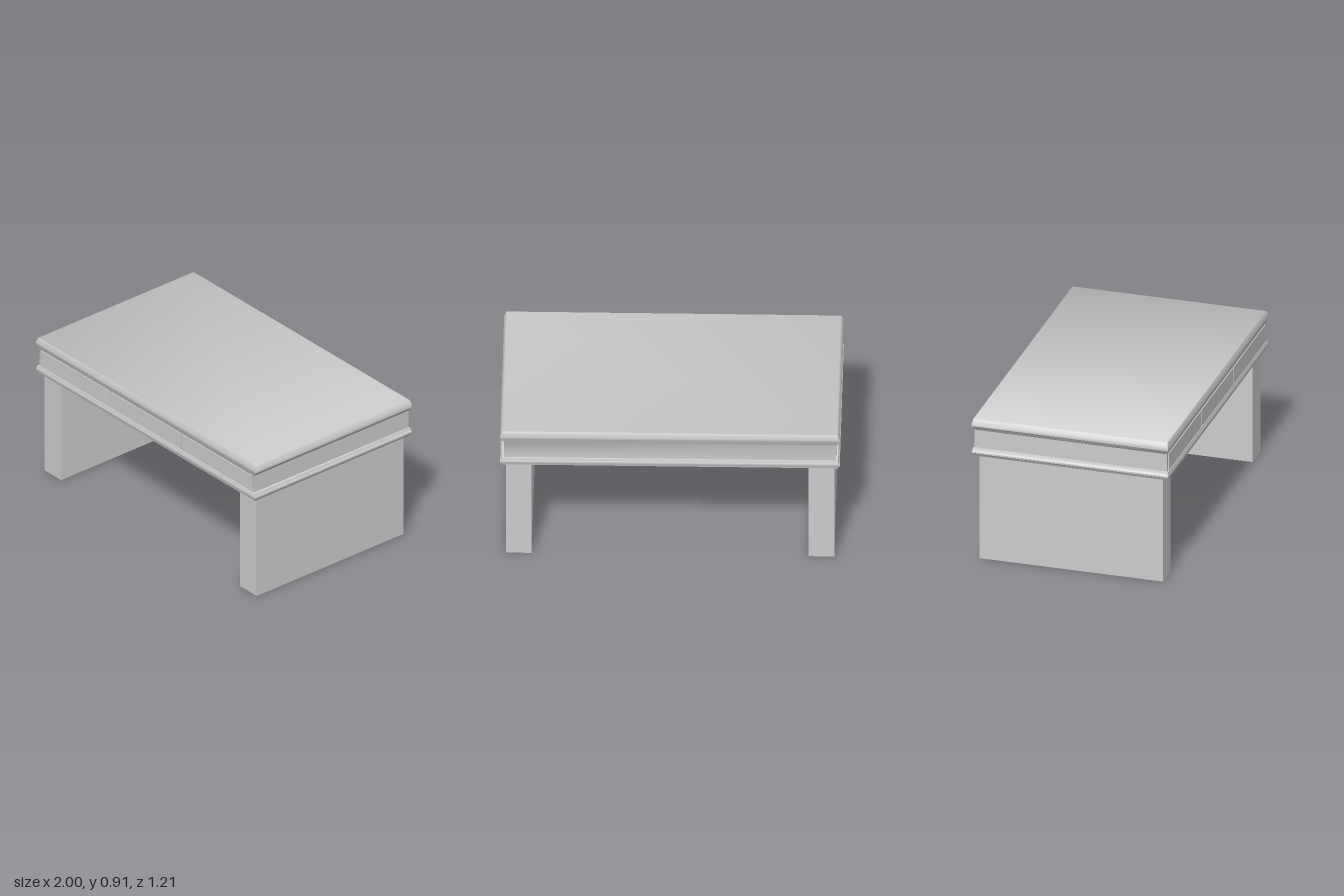
import * as THREE from 'three';
import { toCreasedNormals } from 'three/addons/utils/BufferGeometryUtils.js';

const material = new THREE.MeshStandardMaterial({ color: 0xcccccc });

function addBox(parent, name, size, position) {
  const mesh = new THREE.Mesh(new THREE.BoxGeometry(...size), material);
  mesh.name = name;
  mesh.position.set(...position);
  parent.add(mesh);
}

// Sweeps a moulding profile of [inset, y] points, bottom to top, round a rectangle
function mouldedSlab(profile, halfX, halfZ, zInsetScale) {
  const corners = [[1, 1], [1, -1], [-1, -1], [-1, 1]];
  const positions = [];
  const index = [];
  for (const [inset, y] of profile) {
    for (const [sx, sz] of corners) {
      positions.push(sx * (halfX - inset), y, sz * (halfZ - inset * zInsetScale));
    }
  }
  for (let i = 0; i < profile.length - 1; i++) {
    for (let j = 0; j < 4; j++) {
      const a = i * 4 + j, b = i * 4 + (j + 1) % 4;
      index.push(a, b, b + 4, a, b + 4, a + 4);
    }
  }
  const t = (profile.length - 1) * 4;
  index.push(0, 2, 1, 0, 3, 2, t, t + 1, t + 2, t, t + 2, t + 3);
  const geometry = new THREE.BufferGeometry();
  geometry.setAttribute('position', new THREE.Float32BufferAttribute(positions, 3));
  geometry.setIndex(index);
  return toCreasedNormals(geometry, 0.7);
}

export function createModel() {
  const group = new THREE.Group();
  group.name = 'desk';

  // Table top: lower bead, recessed frieze, cove and rounded upper edge
  const profile = [
    [0.022, 0.665], [0.012, 0.668], [0.005, 0.683], [0, 0.688], [0, 0.698],
    [0.006, 0.704], [0.01, 0.717], [0.022, 0.72],
    [0.022, 0.832], [0.014, 0.838], [0.008, 0.855],
    [0, 0.862], [0, 0.876], [0.006, 0.886], [0.012, 0.903], [0.018, 0.908],
  ];
  const top = new THREE.Mesh(mouldedSlab(profile, 1, 0.605, 0.5), material);
  top.name = 'mouldedTop';
  group.add(top);

  // Three drawer fronts along the front frieze
  for (const i of [-1, 0, 1]) {
    addBox(group, 'drawerFront', [0.637, 0.108, 0.02], [i * 0.645, 0.776, 0.59]);
  }

  // Slab legs at both ends
  for (const side of [1, -1]) {
    addBox(group, side > 0 ? 'leftLeg' : 'rightLeg', [0.152, 0.668, 1.13], [side * 0.891, 0.334, 0]);
  }
  return group;
}
